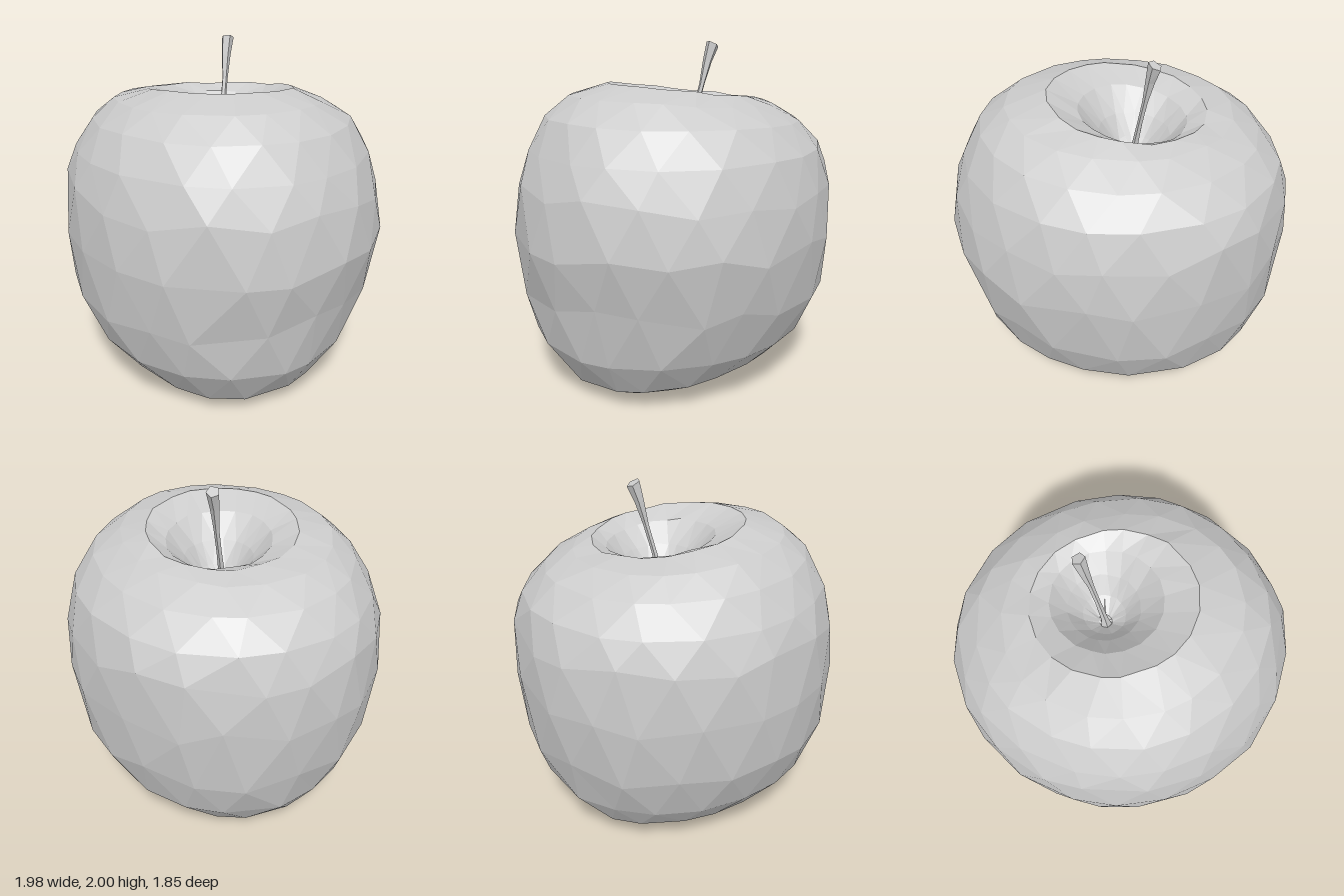
import * as THREE from 'three';

const material = new THREE.MeshStandardMaterial({ color: 0xcccccc, flatShading: true });

// Small seeded noise in the range -1..1
function seeded(seed) {
  return () => {
    seed = (seed * 16807) % 2147483647;
    return (seed / 2147483647) * 2 - 1;
  };
}

// Skins rings of points, listed bottom to top, and closes both ends with fans.
function loft(name, rings) {
  const n = rings[0].length;
  const points = rings.flat();
  const index = [];
  const id = (i, j) => i * n + (j % n);
  for (let i = 0; i < rings.length - 1; i++) {
    for (let j = 0; j < n; j++) {
      const a = id(i, j), b = id(i, j + 1), c = id(i + 1, j), d = id(i + 1, j + 1);
      if (i % 2) index.push(a, c, d, a, d, b);
      else index.push(a, c, b, b, c, d);
    }
  }
  const centre = (ring) => ring.reduce((s, p) => s.add(p), new THREE.Vector3()).divideScalar(n);
  const last = rings.length - 1;
  const bottom = points.push(centre(rings[0])) - 1;
  const top = points.push(centre(rings[last])) - 1;
  for (let j = 0; j < n; j++) {
    index.push(bottom, id(0, j), id(0, j + 1));
    index.push(top, id(last, j + 1), id(last, j));
  }
  const geometry = new THREE.BufferGeometry().setFromPoints(points);
  geometry.setIndex(index);
  geometry.computeVertexNormals();
  const mesh = new THREE.Mesh(geometry, material);
  mesh.name = name;
  return mesh;
}

// Fruit rows: height, reach to -x, +x, -z, +z, and tilt of the row
const ROWS = [
  [0.16, -0.10, 0.10, -0.10, 0.08, 0],
  [0.12, -0.24, 0.23, -0.22, 0.20, -0.04],
  [0.055, -0.42, 0.38, -0.37, 0.36, -0.06],
  [0.055, -0.57, 0.53, -0.48, 0.52, -0.045],
  [0.145, -0.72, 0.70, -0.62, 0.65, -0.02],
  [0.33, -0.84, 0.83, -0.78, 0.81, 0],
  [0.62, -0.935, 0.905, -0.885, 0.895, 0],
  [0.95, -0.98, 0.975, -0.92, 0.92, 0],
  [1.22, -0.955, 0.94, -0.905, 0.90, 0],
  [1.41, -0.895, 0.87, -0.845, 0.835, 0],
  [1.57, -0.78, 0.77, -0.72, 0.735, 0.02],
  [1.672, -0.64, 0.62, -0.56, 0.60, 0.04],
  [1.722, -0.47, 0.40, -0.46, 0.39, 0.085],
  [1.67, -0.35, 0.24, -0.38, 0.23, 0.085],
  [1.56, -0.26, 0.13, -0.29, 0.11, 0.05],
  [1.45, -0.18, 0.05, -0.21, 0.03, 0],
  [1.38, -0.10, -0.03, -0.12, -0.04, 0]
];

function buildFruit() {
  const noise = seeded(4711);
  const sides = 20;
  const rings = ROWS.map(([y, xMin, xMax, zMin, zMax, tilt], i) => {
    const cx = (xMin + xMax) / 2, cz = (zMin + zMax) / 2;
    // Rows on the steep flanks wander up and down, the flatter ends only a little
    const wobble = y > 0.5 && y < 1.3 ? 0.055 : 0.006;
    // The outline is drawn out along one diagonal, most of all near the base
    const skew = y < 0.4 ? 0.055 : 0.024;
    const lift = y < 0.15 ? -0.028 : 0;
    return Array.from({ length: sides }, (_, j) => {
      const a = ((j + (i % 2) * 0.5 + noise() * 0.2) / sides) * Math.PI * 2;
      const diagonal = Math.sin(2 * a);
      const r = 1.016 + skew * diagonal + noise() * 0.006;
      const x = cx + Math.cos(a) * r * (xMax - xMin) / 2;
      const z = cz + Math.sin(a) * r * (zMax - zMin) / 2;
      const height = y + tilt * (x + z) + lift * diagonal + noise() * wobble;
      return new THREE.Vector3(x, Math.max(0, height), z);
    });
  });
  return loft('fruitBody', rings);
}

// Stem rows: centre x, y, z, radius, and slope of the cut
const STEM = [
  [-0.07, 1.36, -0.06, 0.035, 0],
  [-0.075, 1.45, -0.075, 0.02, 0],
  [-0.09, 1.60, -0.11, 0.016, 0],
  [-0.107, 1.75, -0.147, 0.017, 0],
  [-0.125, 1.88, -0.175, 0.028, 0.1],
  [-0.138, 1.98, -0.203, 0.037, 0.36]
];

function buildStem() {
  const sides = 5;
  const rings = STEM.map(([x, y, z, r, slope]) => Array.from({ length: sides }, (_, j) => {
    const a = (j / sides) * Math.PI * 2 + 0.4;
    const dx = Math.cos(a) * r, dz = Math.sin(a) * r;
    return new THREE.Vector3(x + dx, y + slope * (dx + dz), z + dz);
  }));
  return loft('stem', rings);
}

export function createModel() {
  const group = new THREE.Group();
  group.name = 'apple';
  group.add(buildFruit(), buildStem());
  return group;
}
